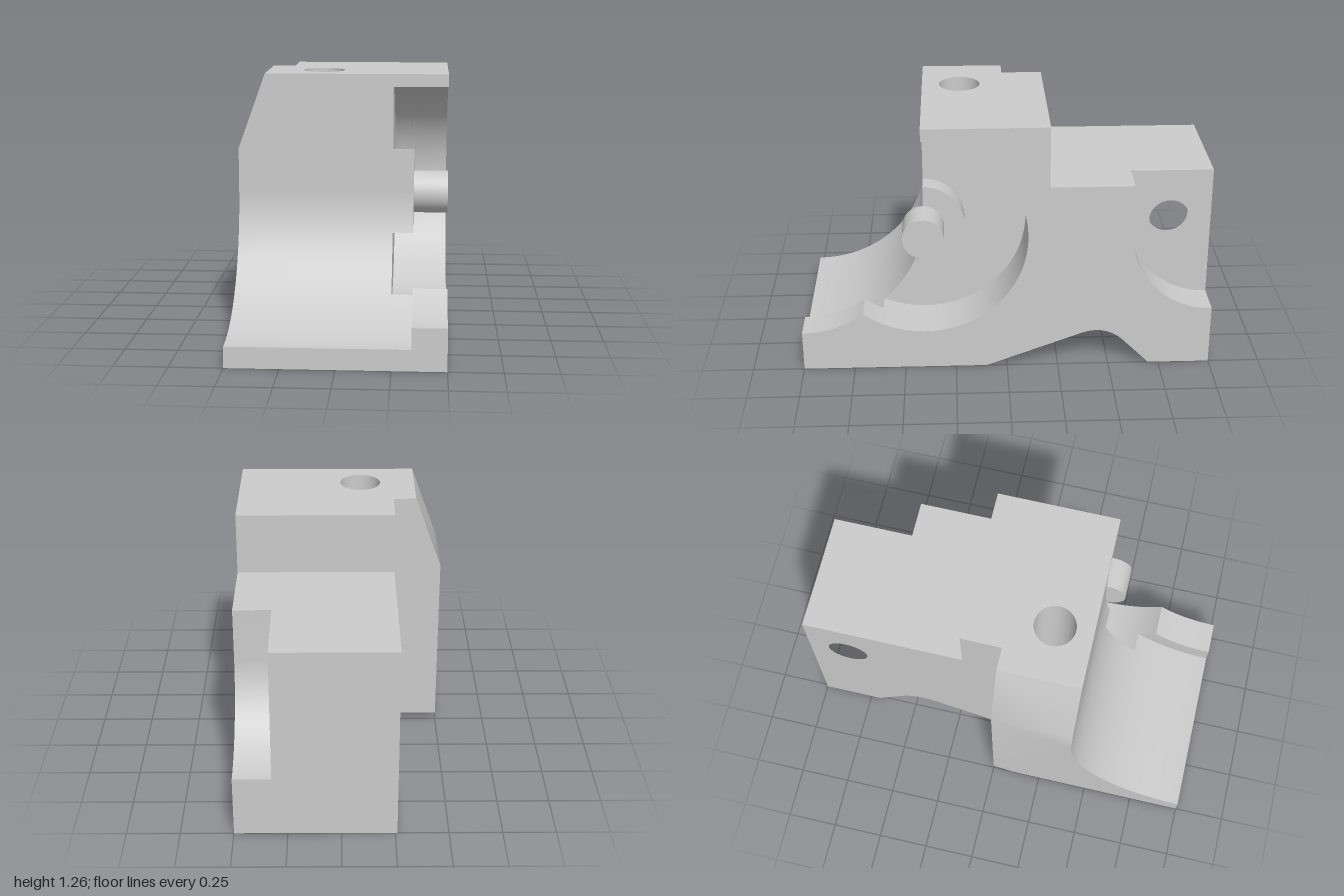
import * as THREE from 'three';
import { toCreasedNormals } from 'three/addons/utils/BufferGeometryUtils.js';

const H = Math.PI / 2;
const TOP = 1.26;
const material = new THREE.MeshStandardMaterial({ color: 0xcccccc });

// Side profiles use (u, y) with u = -z and are extruded along x from x0 to x1
function slabGeometry(shape, x0, x1) {
  const geo = new THREE.ExtrudeGeometry(shape, { depth: x1 - x0, bevelEnabled: false, curveSegments: 40 });
  geo.rotateY(H);
  geo.translate(x0, 0, 0);
  return geo;
}

// Front edge from the toe up to the top: plain sweep, round pocket, or pocket with raised toe
function frontEdge(s, kind) {
  s.moveTo(-1, 0);
  if (kind === 'plain') {
    s.lineTo(-1, 0.1);
    s.absarc(-1, 0.7, 0.6, -H, 0, false);
  } else if (kind === 'pocket') {
    s.lineTo(-1, 0.1);
    s.absarc(-1, 0.7, 0.6, -H, -Math.acos(0.65278), false);
    s.absarc(-0.4, 0.7, 0.5, -Math.acos(-0.41667), H, false);
  } else {
    s.lineTo(-1, 0.2);
    s.absarc(-1, 0.7, 0.5, -H, -Math.acos(0.6), false);
    s.absarc(-0.4, 0.7, 0.5, -Math.acos(-0.6), H, false);
  }
}

// Stepped top, back face (optionally with the rounded corner recess) and arched underside
function rearEdge(s, recess) {
  s.lineTo(0.2, TOP);
  s.lineTo(0.2, 0.96);
  if (recess) {
    s.lineTo(0.6, 0.96);
    s.lineTo(0.6, 0.7);
    s.absarc(1, 0.7, 0.4, Math.PI, 3 * H, false);
  } else {
    s.lineTo(1, 0.96);
    const hole = new THREE.Path();
    hole.absarc(0.8, 0.7, 0.1, 0, 4 * H, true);
    s.holes.push(hole);
  }
  s.lineTo(1, 0);
  s.lineTo(0.7, 0);
  s.lineTo(0.57, 0.13);
  s.quadraticCurveTo(0.48, 0.218, 0.36, 0.172);
  s.lineTo(-0.1, 0);
}

function fullProfile(kind, recess) {
  const s = new THREE.Shape();
  frontEdge(s, kind);
  s.lineTo(-0.4, TOP);
  rearEdge(s, recess);
  return s;
}

export function createModel() {
  const group = new THREE.Group();
  const add = (name, geo) => {
    const mesh = new THREE.Mesh(toCreasedNormals(geo, 0.5), material);
    mesh.name = name;
    group.add(mesh);
  };

  // Left wing, ending at z = 0; its outer strip slopes down at the top
  const wing = new THREE.Shape();
  frontEdge(wing, 'plain');
  wing.lineTo(-0.4, TOP);
  wing.lineTo(0, TOP);
  wing.lineTo(0, 0.0375);
  wing.lineTo(-0.1, 0);
  add('leftWing', slabGeometry(wing, -0.37, -0.26));
  const sloped = slabGeometry(wing, -0.5, -0.37);
  const pos = sloped.attributes.position;
  for (let i = 0; i < pos.count; i++) {
    if (pos.getX(i) < -0.49 && pos.getY(i) > TOP - 0.01) pos.setY(i, 0.9);
  }
  add('leftWingSlope', sloped);

  // Core: curved foot, column with the vertical bore, and rear block with the cross bore
  const foot = new THREE.Shape();
  frontEdge(foot, 'plain');
  foot.lineTo(-0.4, 0);
  add('foot', slabGeometry(foot, -0.26, 0.24));

  const column = new THREE.Shape();
  column.moveTo(-0.26, -0.4);
  column.lineTo(0.24, -0.4);
  column.lineTo(0.24, -0.1);
  column.lineTo(-0.26, -0.1);
  const bore = new THREE.Path();
  bore.absarc(-0.1, -0.215, 0.1, 0, 4 * H, true);
  column.holes.push(bore);
  const columnGeo = new THREE.ExtrudeGeometry(column, { depth: TOP, bevelEnabled: false, curveSegments: 40 });
  columnGeo.rotateX(-H);
  add('boredColumn', columnGeo);

  const rear = new THREE.Shape();
  rear.moveTo(-0.1, 0);
  rear.lineTo(-0.1, TOP);
  rearEdge(rear, false);
  add('rearBlock', slabGeometry(rear, -0.26, 0.24));

  // Right side: pocketed slabs, then the rear recess and the raised toe
  add('pocketWall', slabGeometry(fullProfile('pocket', false), 0.24, 0.32));
  add('recessWall', slabGeometry(fullProfile('pocket', true), 0.32, 0.34));
  add('rightCheek', slabGeometry(fullProfile('toe', true), 0.34, 0.5));

  // Hub inside the pocket, trimmed by the front sweep
  const hub = new THREE.Shape();
  hub.absarc(-0.4, 0.7, 0.2, -Math.acos(-0.16667), H, false);
  hub.lineTo(-0.4, 0.7);
  hub.absarc(-1, 0.7, 0.6, 0, -Math.acos(0.94444), true);
  add('hub', slabGeometry(hub, 0.24, 0.34));

  // Pin on the hub
  const pin = new THREE.CylinderGeometry(0.1, 0.1, 0.16, 48);
  pin.rotateZ(H);
  pin.translate(0.42, 0.7, 0.4);
  add('pin', pin);

  return group;
}
